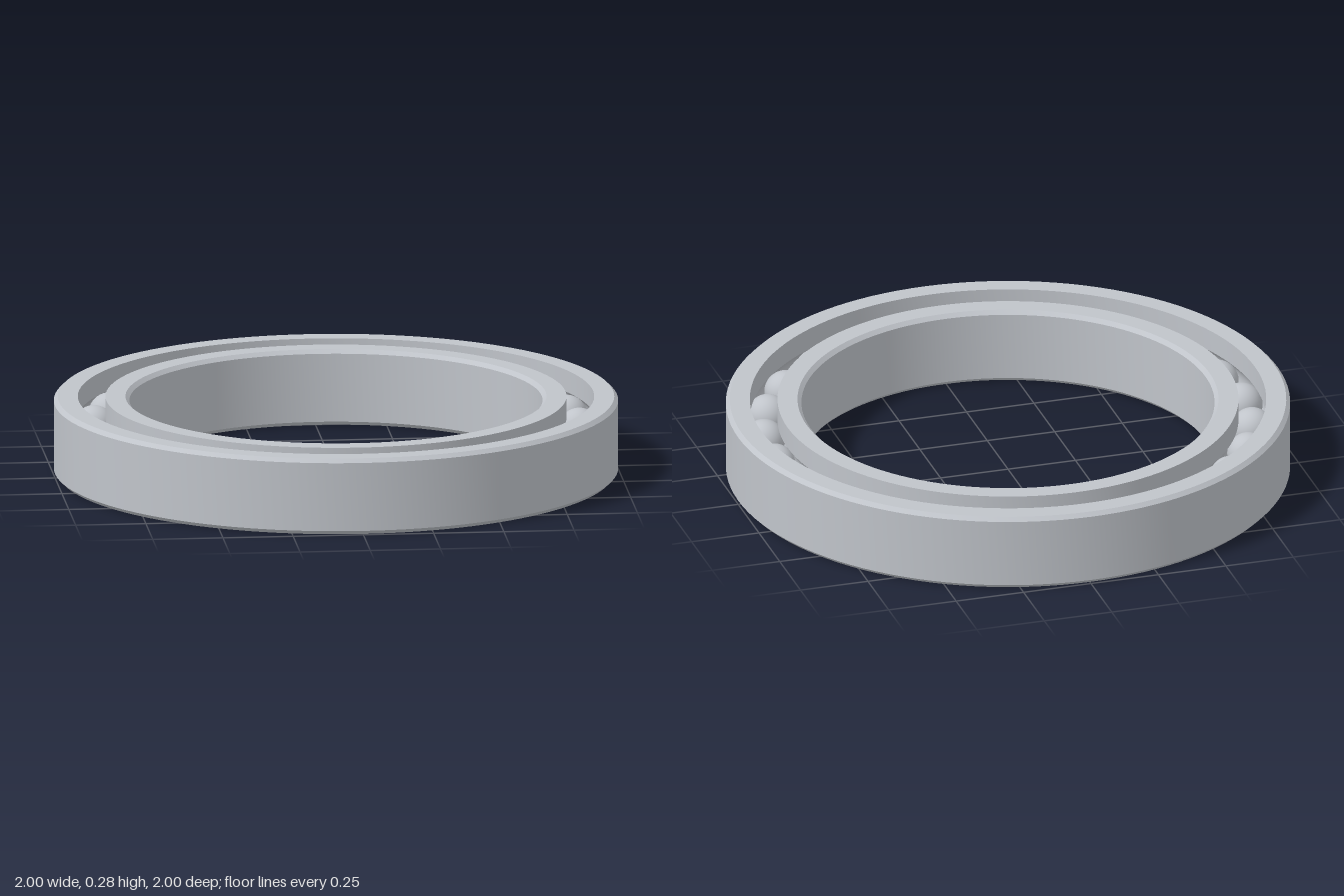
import * as THREE from 'three';
import { toCreasedNormals } from 'three/addons/utils/BufferGeometryUtils.js';

const HEIGHT = 0.275;   // ring height
const PITCH = 0.866;    // radius of the circle of balls
const WALL = 0.134;     // pitch circle to the far wall of a ring
const GAP = 0.049;      // pitch circle to the near wall of a ring
const CHAMFER = 0.014;
const BALL = 0.075;
const BALL_COUNT = 26;

// Ring section around the ball centre; side 1 is the outer ring,
// side -1 turns the same section half round to make the inner ring
function makeRing(name, side, material) {
  const half = HEIGHT / 2;
  const section = [
    [GAP, -half], [WALL - CHAMFER, -half], [WALL, -half + CHAMFER],
    [WALL, half - CHAMFER], [WALL - CHAMFER, half], [GAP, half],
  ];
  // Ball groove, from top to bottom
  const groove = BALL + 0.001;
  const spread = Math.acos(GAP / groove);
  const steps = 14;
  for (let i = 0; i <= steps; i++) {
    const a = spread * (1 - 2 * i / steps);
    section.push([groove * Math.cos(a), groove * Math.sin(a)]);
  }
  section.push(section[0]);
  const points = section.map(([u, v]) => new THREE.Vector2(PITCH + side * u, half + side * v));
  const geometry = toCreasedNormals(new THREE.LatheGeometry(points, 120), Math.PI / 8);
  const ring = new THREE.Mesh(geometry, material);
  ring.name = name;
  return ring;
}

export function createModel() {
  const model = new THREE.Group();
  model.name = 'ballBearing';
  const steel = new THREE.MeshStandardMaterial({ color: 0xc0c4ca });
  steel.name = 'steel';

  model.add(makeRing('outerRing', 1, steel), makeRing('innerRing', -1, steel));

  // Balls between the rings
  const balls = new THREE.Group();
  balls.name = 'balls';
  const ballGeometry = new THREE.SphereGeometry(BALL, 32, 20);
  for (let i = 0; i < BALL_COUNT; i++) {
    const a = i / BALL_COUNT * Math.PI * 2;
    const ball = new THREE.Mesh(ballGeometry, steel);
    ball.name = 'ball';
    ball.position.set(PITCH * Math.cos(a), HEIGHT / 2, PITCH * Math.sin(a));
    balls.add(ball);
  }
  model.add(balls);
  return model;
}
